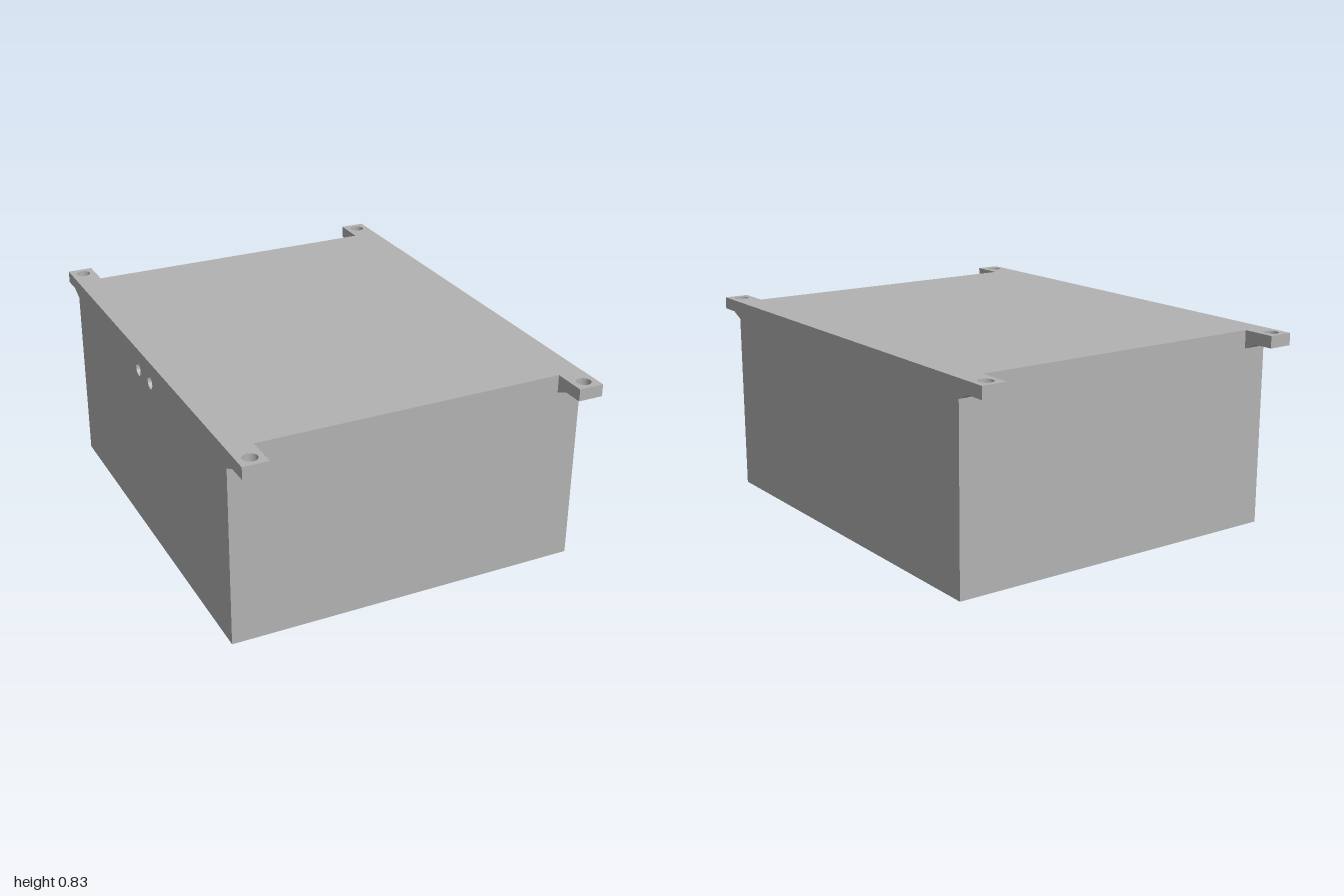
import * as THREE from 'three';

const W = 0.745, D = 0.86, H = 0.83;   // half width, half depth, height
const WALL = 0.035, LID = 0.05;        // thicknesses
const TAB_W = 0.105, TAB_Z = 1;        // mounting ears
const TOP = H - LID;

const grey = new THREE.MeshStandardMaterial({ color: 0xb2b2b2 });
grey.name = 'grey plastic';

function polygon(points) {
  return new THREE.Shape(points.map(([x, y]) => new THREE.Vector2(x, y)));
}

function drill(shape, x, y, r) {
  const hole = new THREE.Path();
  hole.absarc(x, y, r, 0, Math.PI * 2, true);
  shape.holes.push(hole);
}

function extrude(shape, depth) {
  return new THREE.ExtrudeGeometry(shape, { depth, bevelEnabled: false, curveSegments: 16 });
}

export function createModel() {
  const model = new THREE.Group();
  model.name = 'enclosure';

  function add(name, geometry, x = 0, y = 0, z = 0) {
    const mesh = new THREE.Mesh(geometry, grey);
    mesh.name = name;
    mesh.position.set(x, y, z);
    model.add(mesh);
  }

  // Top plate with four drilled mounting ears
  const i = W - TAB_W;
  const plate = polygon([
    [-W, -TAB_Z], [-i, -TAB_Z], [-i, -D], [i, -D], [i, -TAB_Z], [W, -TAB_Z],
    [W, TAB_Z], [i, TAB_Z], [i, D], [-i, D], [-i, TAB_Z], [-W, TAB_Z],
  ]);
  for (const sx of [-1, 1]) {
    for (const sz of [-1, 1]) drill(plate, sx * 0.692, sz * 0.948, 0.03);
  }
  add('topPlate', extrude(plate, LID).rotateX(-Math.PI / 2), 0, TOP, 0);

  // Front, back and left walls; the bottom stays open
  for (const [name, s] of [['frontWall', 1], ['backWall', -1]]) {
    add(name, new THREE.BoxGeometry(2 * W, TOP, WALL), 0, TOP / 2, s * (D - WALL / 2));
  }
  const inner = D - WALL;
  add('leftWall', new THREE.BoxGeometry(WALL, TOP, 2 * D), W - WALL / 2, TOP / 2, 0);

  // Right wall with two cable holes
  const side = polygon([[-D, 0], [D, 0], [D, TOP], [-D, TOP]]);
  for (const z of [-0.068, 0.068]) drill(side, z, 0.74, 0.027);
  add('rightWall', extrude(side, WALL).rotateY(Math.PI / 2), -W, 0, 0);

  // Small sloping gussets under the ears
  const wedge = polygon([[inner, 0.755], [D, 0.755], [0.917, TOP], [inner, TOP]]);
  for (const sx of [-1, 1]) {
    const left = sx > 0 ? i : -W;
    add('frontGusset', extrude(wedge, TAB_W).rotateY(-Math.PI / 2), left + TAB_W, 0, 0);
    add('backGusset', extrude(wedge, TAB_W).rotateY(Math.PI / 2), left, 0, 0);
  }
  return model;
}
